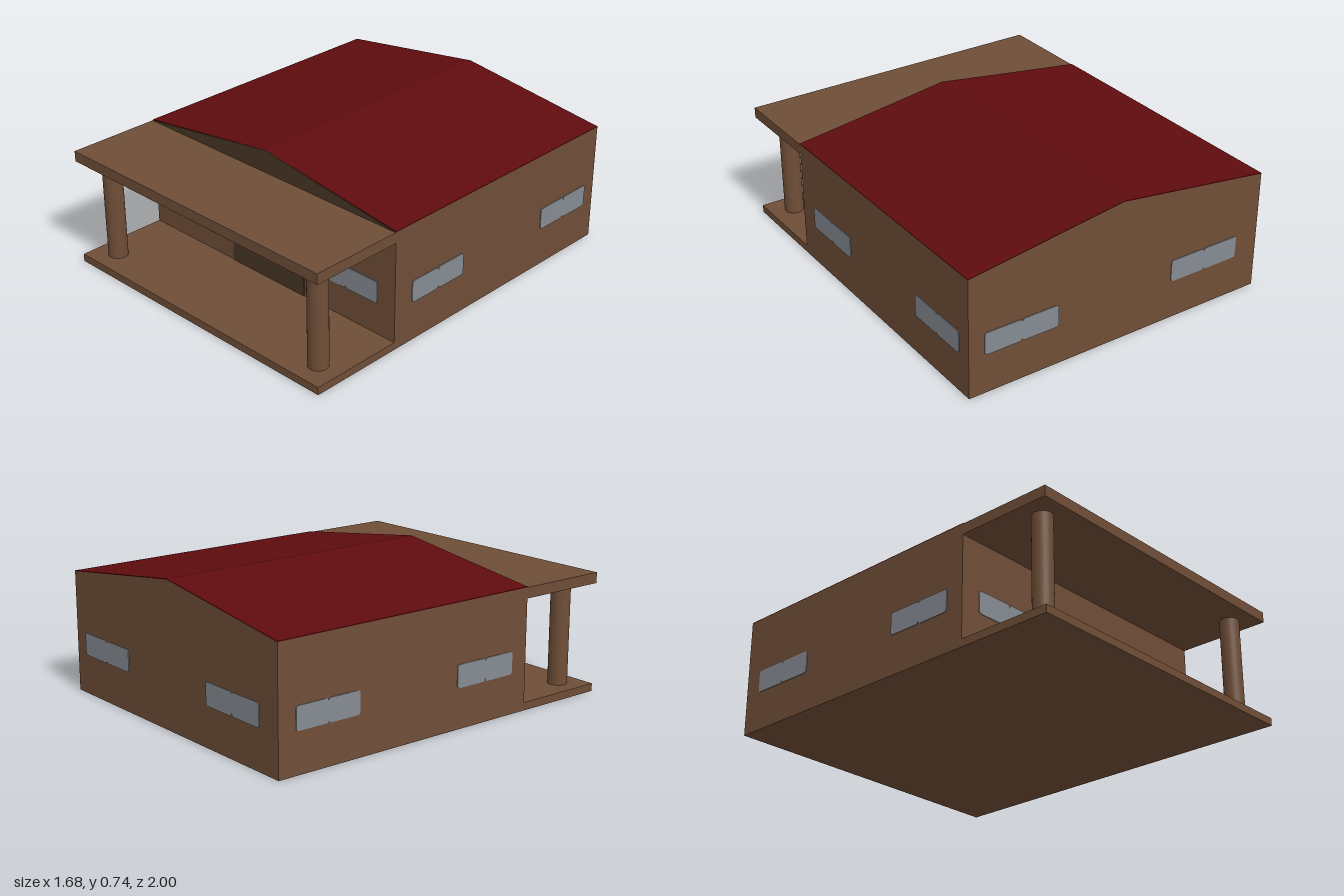
import * as THREE from 'three';

export function createModel() {
  const model = new THREE.Group();
  const mat = (name, color) => Object.assign(new THREE.MeshStandardMaterial({ color }), { name });
  const wall = mat('brown wall', 0x6f4e37);
  const roofRed = mat('dark red roof', 0x5f0c0e);
  const dark = mat('dark brown', 0x483624);
  const glass = mat('grey glass', 0x868b93);

  const W = 0.835, EAVE = 0.62, RIDGE = 0.737, FRONT = 0.505, BACK = -1, T = 0.004;
  const add = (name, geometry, material, x = 0, y = 0, z = 0, parent = model) => {
    const mesh = new THREE.Mesh(geometry, material);
    mesh.name = name;
    mesh.position.set(x, y, z);
    parent.add(mesh);
    return mesh;
  };
  const polygon = (pts) => new THREE.Shape(pts.map(([x, y]) => new THREE.Vector2(x, y)));
  const extrude = (shape, depth) =>
    new THREE.ExtrudeGeometry(shape, { depth, bevelEnabled: false, curveSegments: 6 });

  // House body with gabled ends
  const body = polygon([[-W, 0], [W, 0], [W, EAVE], [0, RIDGE - T], [-W, EAVE]]);
  add('houseBody', extrude(body, FRONT - BACK), wall, 0, 0, BACK);

  // Thin red roof covering both slopes
  const roof = polygon([[-W, EAVE], [0, RIDGE - T], [W, EAVE], [W, EAVE + T], [0, RIDGE], [-W, EAVE + T]]);
  add('roof', extrude(roof, FRONT - BACK), roofRed, 0, 0, BACK);

  // Dark front gable
  add('frontGable', extrude(polygon([[-W, EAVE], [W, EAVE], [0, RIDGE]]), T), dark, 0, 0, FRONT);

  // Porch floor, canopy and columns
  const porchDepth = 1 - FRONT, porchZ = (1 + FRONT) / 2;
  add('porchFloor', new THREE.BoxGeometry(2 * W, 0.04, porchDepth), wall, 0, 0.02, porchZ);
  add('porchCanopy', new THREE.BoxGeometry(2 * W, 0.055, porchDepth), wall, 0, 0.5925, porchZ);
  for (const side of [-1, 1]) {
    add('porchColumn', new THREE.CylinderGeometry(0.05, 0.05, 0.525, 32), wall, side * 0.712, 0.3025, 0.875);
  }

  // Doorway with a shallow arched top
  const door = new THREE.Shape();
  door.moveTo(-0.25, 0.04);
  door.lineTo(0.25, 0.04);
  door.lineTo(0.25, 0.23);
  door.quadraticCurveTo(0.245, 0.25, 0.21, 0.262);
  door.quadraticCurveTo(0.1, 0.29, 0, 0.29);
  door.quadraticCurveTo(-0.1, 0.29, -0.21, 0.265);
  door.quadraticCurveTo(-0.245, 0.255, -0.25, 0.23);
  add('door', extrude(door, T), dark, 0, 0, FRONT);

  // Windows: two rounded panes side by side
  const paneShape = (w, h, r) => {
    const s = new THREE.Shape(), a = w / 2, b = h / 2;
    s.moveTo(-a + r, -b);
    s.lineTo(a - r, -b);
    s.quadraticCurveTo(a, -b, a, -b + r);
    s.lineTo(a, b - r);
    s.quadraticCurveTo(a, b, a - r, b);
    s.lineTo(-a + r, b);
    s.quadraticCurveTo(-a, b, -a, b - r);
    s.lineTo(-a, -b + r);
    s.quadraticCurveTo(-a, -b, -a + r, -b);
    return s;
  };
  const addWindow = (name, width, x, z, angle) => {
    const group = new THREE.Group();
    group.name = name;
    group.position.set(x, 0.262, z);
    group.rotation.y = angle;
    const pane = extrude(paneShape(width / 2, 0.115, 0.016), T);
    for (const side of [-1, 1]) add('pane', pane, glass, side * width / 4, 0, 0, group);
    model.add(group);
  };
  for (const side of [-1, 1]) {
    addWindow('frontWindow', 0.4, side * 0.527, FRONT, 0);
    addWindow('backWindow', 0.4, side * 0.527 + 0.025, BACK, Math.PI);
    for (const z of [0.21, -0.745]) {
      addWindow('sideWindow', 0.36, side * W, z + (side < 0 ? 0.02 : 0), side * Math.PI / 2);
    }
  }
  return model;
}
